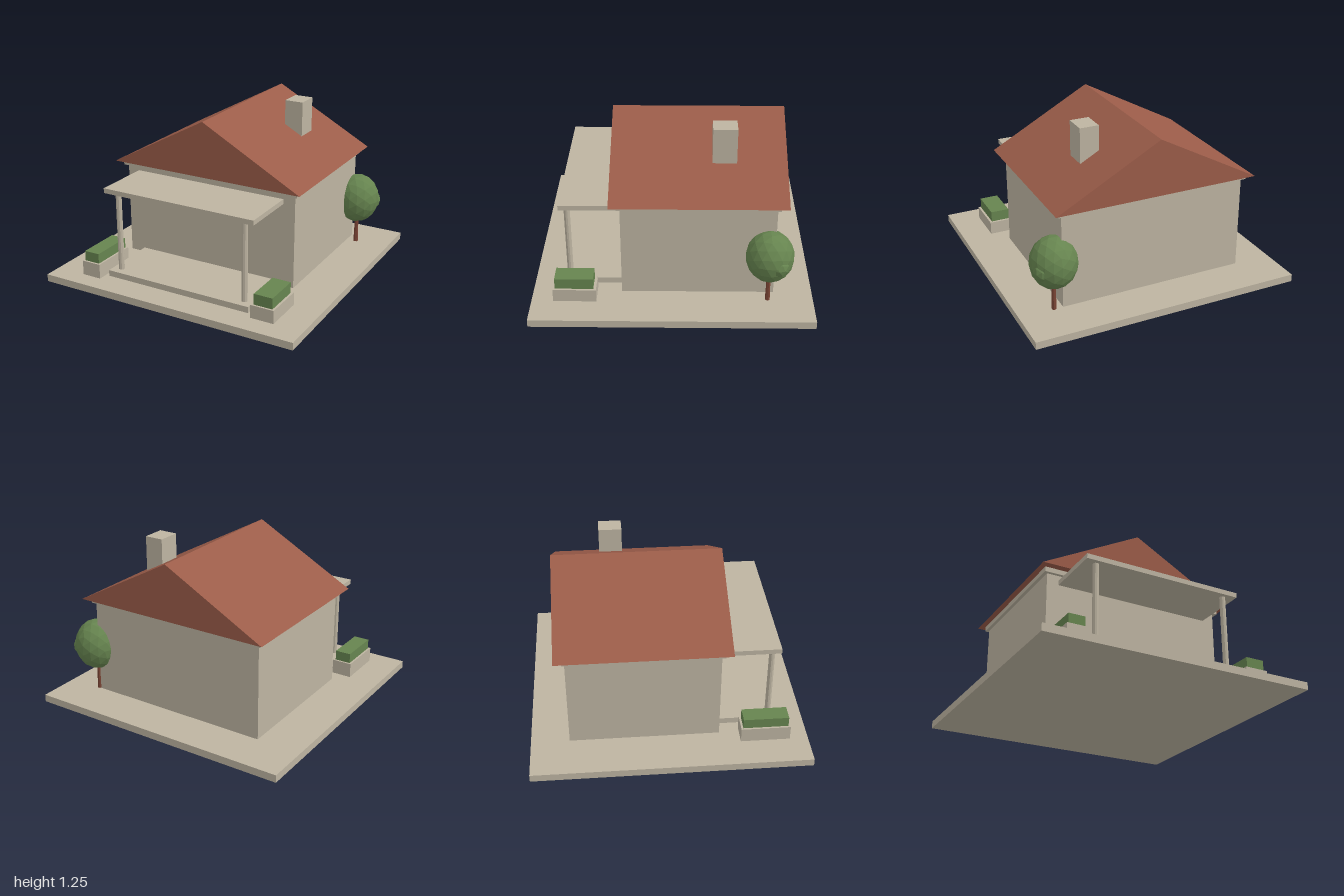
import * as THREE from 'three';

export function createModel() {
  const house = new THREE.Group();
  house.name = 'house';

  const material = (name, color) => {
    const m = new THREE.MeshStandardMaterial({ color, flatShading: true });
    m.name = name;
    return m;
  };
  const stone = material('beige stone', 0xbdb4a1);
  const tile = material('red tile', 0x9b5c49);
  const leaf = material('leaf green', 0x66844f);
  const bark = material('brown bark', 0x7a4434);

  const add = (name, geometry, mat, x = 0, y = 0, z = 0) => {
    const mesh = new THREE.Mesh(geometry, mat);
    mesh.name = name;
    mesh.position.set(x, y, z);
    house.add(mesh);
    return mesh;
  };
  // Box given by its limits on each axis
  const box = (name, mat, [x0, x1], [y0, y1], [z0, z1]) =>
    add(name, new THREE.BoxGeometry(x1 - x0, y1 - y0, z1 - z0), mat,
      (x0 + x1) / 2, (y0 + y1) / 2, (z0 + z1) / 2);

  // Ground plate, walls and cornice
  box('groundPlate', stone, [-1, 1], [0, 0.055], [-1, 1]);
  box('walls', stone, [-0.69, 0.69], [0.08, 0.79], [-0.72, 0.36]);
  box('cornice', stone, [-0.715, 0.715], [0.772, 0.808], [-0.74, 0.385]);

  // Gable roof as a closed prism
  const gable = new THREE.Shape([
    new THREE.Vector2(-0.755, 0.81),
    new THREE.Vector2(0.755, 0.81),
    new THREE.Vector2(0, 1.22),
  ]);
  add('roof', new THREE.ExtrudeGeometry(gable, { depth: 1.23, bevelEnabled: false }), tile, 0, 0, -0.795);
  box('chimney', stone, [0.29, 0.43], [0.93, 1.245], [-0.445, -0.275]);

  // Porch
  box('porchFloor', stone, [-0.575, 0.575], [0.067, 0.112], [0.36, 0.815]);
  box('porchCanopy', stone, [-0.6, 0.6], [0.702, 0.738], [0.36, 0.795]);
  for (const side of [-1, 1]) {
    add(side < 0 ? 'rightColumn' : 'leftColumn',
      new THREE.CylinderGeometry(0.022, 0.022, 0.59, 10), stone, side * 0.51, 0.407, 0.745);
  }

  // Planters with clipped hedges
  box('rightPlanter', stone, [-0.77, -0.62], [0.055, 0.165], [0.51, 0.867]);
  box('rightHedge', leaf, [-0.755, -0.635], [0.165, 0.24], [0.525, 0.852]);
  box('leftPlanter', stone, [0.605, 0.782], [0.055, 0.152], [0.538, 0.845]);
  box('leftHedge', leaf, [0.625, 0.765], [0.152, 0.232], [0.557, 0.83]);

  // Tree behind the left corner
  add('treeTrunk', new THREE.CylinderGeometry(0.013, 0.018, 0.25, 7), bark, 0.74, 0.18, -0.677);
  const crown = add('treeCrown', new THREE.IcosahedronGeometry(1, 2), leaf, 0.735, 0.422, -0.678);
  crown.scale.set(0.168, 0.19, 0.17);
  add('treeCrownTuft', new THREE.IcosahedronGeometry(0.078, 1), leaf, 0.825, 0.405, -0.73);

  return house;
}
